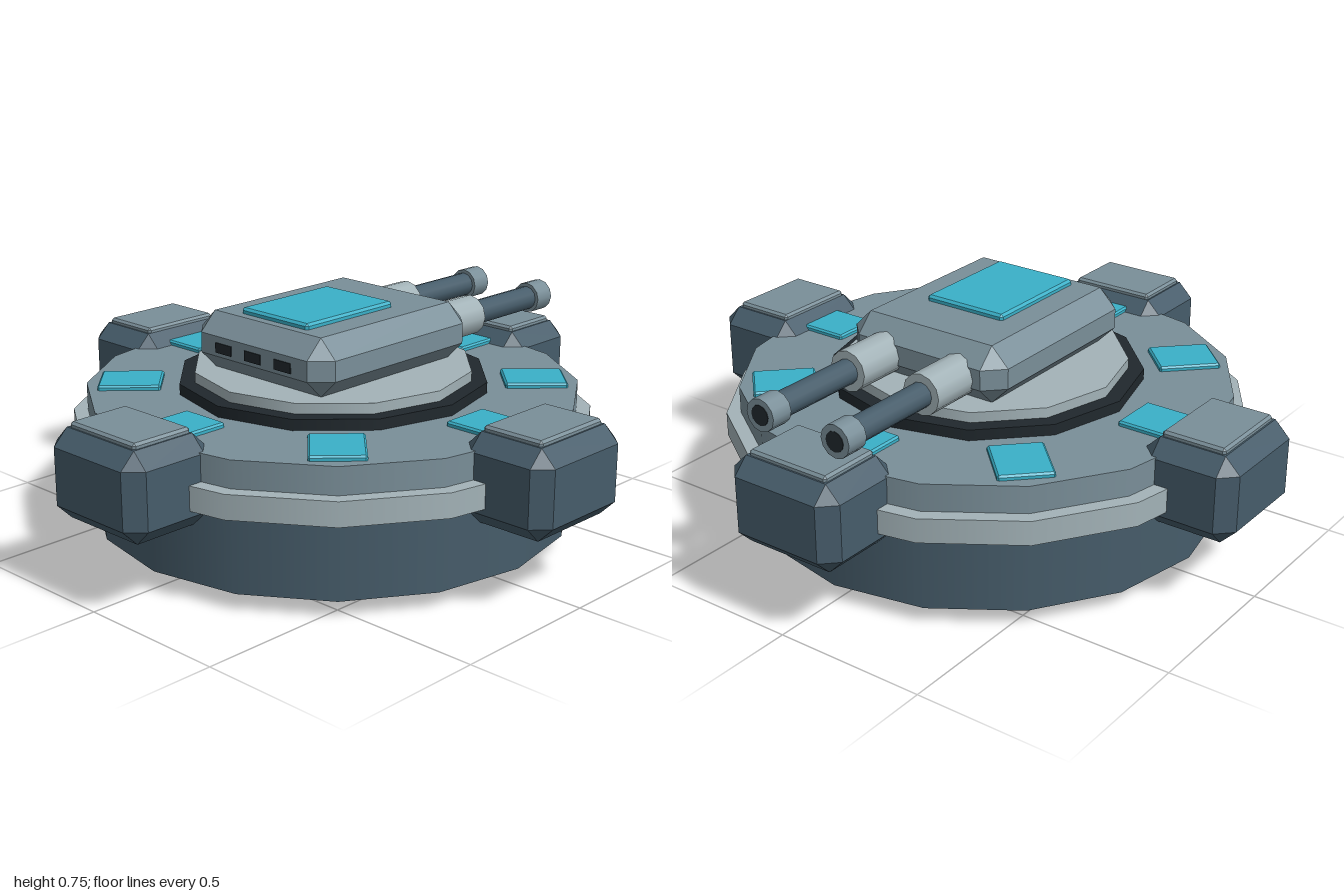
import * as THREE from 'three';
import { ConvexGeometry } from 'three/addons/geometries/ConvexGeometry.js';

const material = (color) => new THREE.MeshStandardMaterial({ color });
const hull = material(0x465c6a);
const deckGrey = material(0x7a8f99);
const light = material(0xa3b3b8);
const black = material(0x20282d);
const teal = material(0x3ab0c8);

function add(parent, name, geometry, mat, x = 0, y = 0, z = 0) {
  const mesh = new THREE.Mesh(geometry, mat);
  mesh.name = name;
  mesh.position.set(x, y, z);
  parent.add(mesh);
  return mesh;
}

// Box with every edge and corner cut flat by b
function bevelBox(w, h, d, b) {
  const points = [];
  for (const sx of [-1, 1]) for (const sy of [-1, 1]) for (const sz of [-1, 1]) {
    for (let full = 0; full < 3; full++) {
      const c = [w / 2, h / 2, d / 2].map((v, i) => (i === full ? v : v - b));
      points.push(new THREE.Vector3(sx * c[0], sy * c[1], sz * c[2]));
    }
  }
  return new ConvexGeometry(points);
}

// Upright disc between two heights
function disc(parent, name, radius, y0, y1, sides, mat) {
  return add(parent, name, new THREE.CylinderGeometry(radius, radius, y1 - y0, sides), mat, 0, (y0 + y1) / 2, 0);
}

// Cylinder lying along x
function rod(parent, name, radius, x0, x1, mat, open = false) {
  const g = new THREE.CylinderGeometry(radius, radius, x1 - x0, 12, 1, open);
  g.rotateZ(-Math.PI / 2);
  return add(parent, name, g, mat, (x0 + x1) / 2, 0, 0);
}

export function createModel() {
  const model = new THREE.Group();
  model.name = 'turretPlatform';

  // Stacked base
  disc(model, 'bottomLens', 0.225, 0, 0.03, 12, teal);
  disc(model, 'bottomHub', 0.39, 0.01, 0.06, 12, black);
  disc(model, 'baseBody', 0.77, 0.055, 0.33, 16, hull);
  disc(model, 'rimBand', 0.835, 0.31, 0.388, 16, light);
  disc(model, 'deck', 0.79, 0.38, 0.475, 16, deckGrey);
  disc(model, 'turretCollar', 0.5, 0.47, 0.51, 12, black);
  disc(model, 'turntable', 0.45, 0.5, 0.543, 12, light);

  // Eight glowing deck pads
  for (let i = 0; i < 8; i++) {
    const arm = new THREE.Group();
    arm.name = 'deckPad';
    arm.rotation.y = (i * Math.PI) / 4;
    add(arm, 'padLight', bevelBox(0.2, 0.025, 0.17, 0.006), teal, 0.647, 0.478, 0);
    model.add(arm);
  }

  // Four outer pods with top plates
  for (let i = 0; i < 4; i++) {
    const pod = new THREE.Group();
    pod.name = 'pod';
    pod.rotation.y = (i * Math.PI) / 2;
    add(pod, 'podShell', bevelBox(0.315, 0.28, 0.4, 0.05), hull, 0.8425, 0.38, 0);
    add(pod, 'podPlate', bevelBox(0.21, 0.03, 0.29, 0.008), deckGrey, 0.84, 0.522, 0);
    model.add(pod);
  }

  // Turret head
  const turret = new THREE.Group();
  turret.name = 'turret';
  model.add(turret);
  add(turret, 'turretShell', bevelBox(0.705, 0.185, 0.585, 0.06), deckGrey, 0, 0.634, 0);
  add(turret, 'turretTopLight', bevelBox(0.385, 0.03, 0.29, 0.008), teal, -0.07, 0.73, 0);
  for (const z of [-0.13, 0, 0.13]) {
    add(turret, 'rearVent', new THREE.BoxGeometry(0.02, 0.032, 0.07), black, -0.346, 0.63, z);
  }

  // Twin guns
  for (const z of [-0.14, 0.14]) {
    const gun = new THREE.Group();
    gun.name = 'gun';
    gun.position.set(0, 0.625, z);
    turret.add(gun);
    rod(gun, 'sleeve', 0.066, 0.31, 0.515, light);
    rod(gun, 'barrel', 0.04, 0.5, 0.84, hull);
    rod(gun, 'muzzle', 0.052, 0.82, 0.894, deckGrey);
    rod(gun, 'bore', 0.032, 0.86, 0.896, black);
  }
  return model;
}
